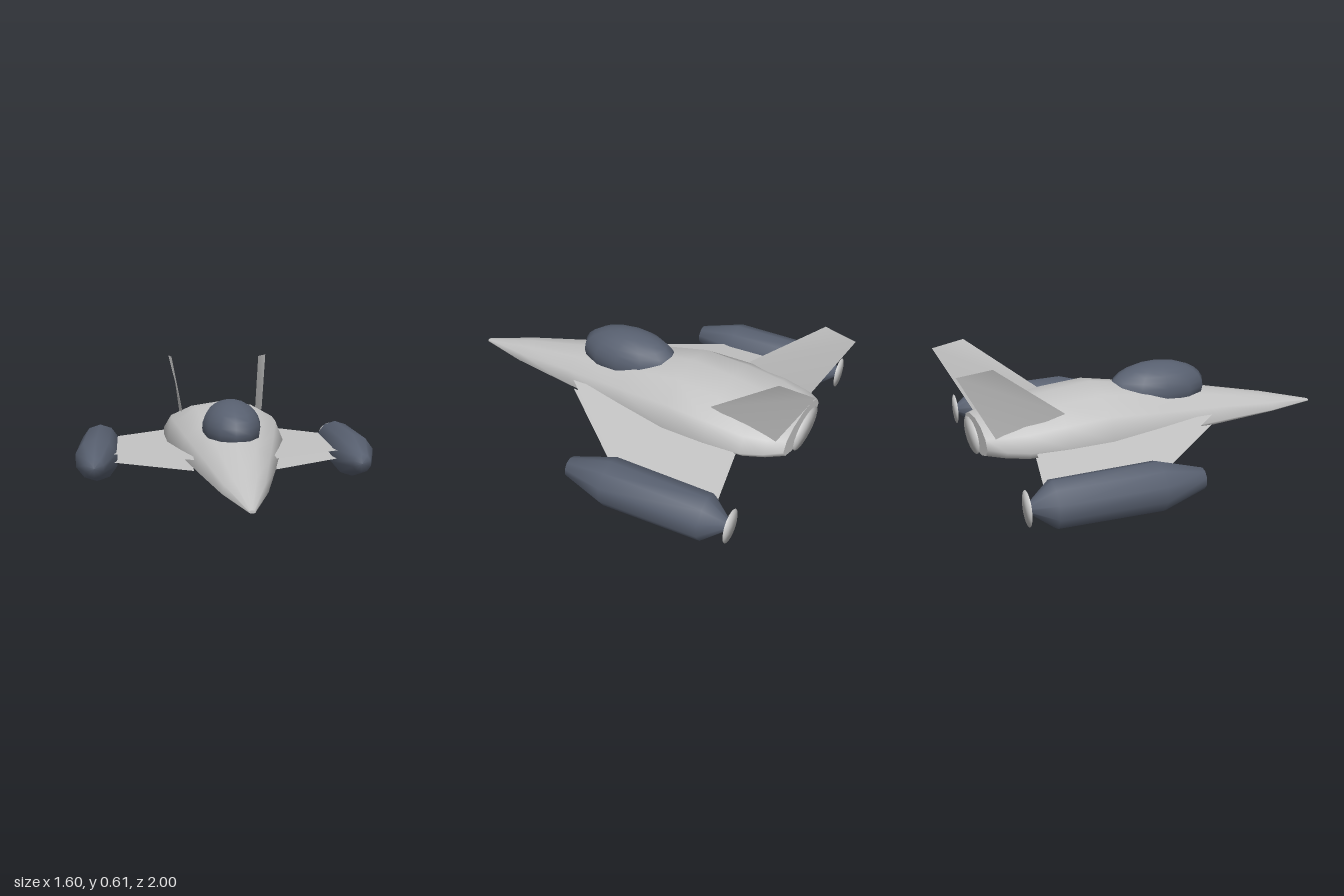
import * as THREE from 'three';

const mat = (name, color, side = THREE.FrontSide) => {
  const m = new THREE.MeshStandardMaterial({ color, side });
  m.name = name;
  return m;
};

function addMesh(parent, name, geometry, material) {
  const mesh = new THREE.Mesh(geometry, material);
  mesh.name = name;
  parent.add(mesh);
  return mesh;
}

// Fuselage sections, nose to tail: z, half width, widest height, top, bottom
const SECTIONS = [
  [1.0, 0.015, 0.145, 0.152, 0.138],
  [0.72, 0.104, 0.155, 0.225, 0.133],
  [0.35, 0.188, 0.172, 0.305, 0.126],
  [0.0, 0.262, 0.188, 0.365, 0.121],
  [-0.28, 0.315, 0.2, 0.412, 0.118],
  [-0.5, 0.328, 0.203, 0.387, 0.119],
  [-0.69, 0.325, 0.207, 0.352, 0.124],
  [-0.79, 0.285, 0.212, 0.326, 0.132],
  [-0.87, 0.23, 0.217, 0.302, 0.14],
];

// Smooth loft with a separate flat cap at each end
function fuselageGeometry(sides = 12) {
  const pos = [], idx = [];
  const ring = ([z, w, mid, top, bottom]) => {
    for (let j = 0; j < sides; j++) {
      const a = (j / sides) * Math.PI * 2, s = Math.sin(a);
      pos.push(w * Math.cos(a), mid + s * (s > 0 ? top - mid : mid - bottom), z);
    }
  };
  SECTIONS.forEach(ring);
  for (let i = 0; i < SECTIONS.length - 1; i++) {
    for (let j = 0; j < sides; j++) {
      const k = (j + 1) % sides;
      const a = i * sides + j, c = i * sides + k;
      idx.push(a, a + sides, c, c, a + sides, c + sides);
    }
  }
  [SECTIONS[0], SECTIONS[SECTIONS.length - 1]].forEach((s, end) => {
    const base = pos.length / 3;
    ring(s);
    pos.push(0, s[2], s[0]);
    for (let j = 0; j < sides; j++) {
      const a = base + j, b = base + (j + 1) % sides, c = base + sides;
      idx.push(c, ...(end ? [b, a] : [a, b]));
    }
  });
  const g = new THREE.BufferGeometry();
  g.setAttribute('position', new THREE.Float32BufferAttribute(pos, 3));
  g.setIndex(idx);
  g.computeVertexNormals();
  return g;
}

// Four-cornered thin sheet
function sheet(corners) {
  const g = new THREE.BufferGeometry();
  g.setAttribute('position', new THREE.Float32BufferAttribute(corners.flat(), 3));
  g.setIndex([0, 1, 2, 0, 2, 3]);
  g.computeVertexNormals();
  return g;
}

// Flattened dish that keeps the rounded normals of a ball
function dish(rx, ry, rz) {
  const g = new THREE.SphereGeometry(1, 16, 10);
  const p = g.attributes.position;
  for (let i = 0; i < p.count; i++) p.setXYZ(i, p.getX(i) * rx, p.getY(i) * ry, p.getZ(i) * rz);
  return g;
}

export function createModel() {
  const model = new THREE.Group();
  model.name = 'spacecraft';
  const hull = mat('hullGrey', 0xc4c4c4);
  const panel = mat('panelGrey', 0xc4c4c4, THREE.DoubleSide);
  const slate = mat('slateBlue', 0x586070, THREE.DoubleSide);

  addMesh(model, 'fuselage', fuselageGeometry(), hull);

  // Bubble canopy, cut flat just below its widest line
  const canopy = new THREE.SphereGeometry(1, 12, 8, 0, Math.PI * 2, 0, 1.82);
  canopy.scale(0.147, 0.137, 0.264);
  addMesh(model, 'canopy', canopy, slate).position.set(0, 0.338, 0.078);

  addMesh(model, 'mainEngineDish', dish(0.16, 0.08, 0.006), hull).position.set(0, 0.217, -0.89);

  const podProfile = [[0, -0.825], [0.02, -0.82], [0.108, -0.71], [0.115, -0.22], [0.05, -0.003], [0, 0.008]]
    .map(([r, z]) => new THREE.Vector2(r, z));

  for (const s of [1, -1]) {
    const side = s > 0 ? 'left' : 'right';

    // Wing of two parallel skins, open at the edges
    [['UpperWing', 0.218, 0.15], ['LowerWing', 0.164, 0.106]].forEach(([name, root, tip]) => {
      addMesh(model, side + name, sheet([
        [s * 0.2, root, 0.3], [s * 0.63, tip, -0.215],
        [s * 0.63, tip, -0.715], [s * 0.2, root, -0.64],
      ]), panel);
    });

    // Canted tail fin
    addMesh(model, side + 'TailFin', sheet([
      [s * 0.225, 0.34, -0.49], [s * 0.29, 0.615, -0.84],
      [s * 0.267, 0.59, -1.0], [s * 0.225, 0.25, -0.82],
    ]), panel);

    // Engine pod and its dish
    const pod = new THREE.LatheGeometry(podProfile, 10).rotateX(Math.PI / 2);
    addMesh(model, side + 'EnginePod', pod, slate).position.set(s * 0.693, 0.118, 0);
    addMesh(model, side + 'PodDish', dish(0.077, 0.08, 0.005), hull).position.set(s * 0.693, 0.118, -0.823);
  }
  return model;
}
